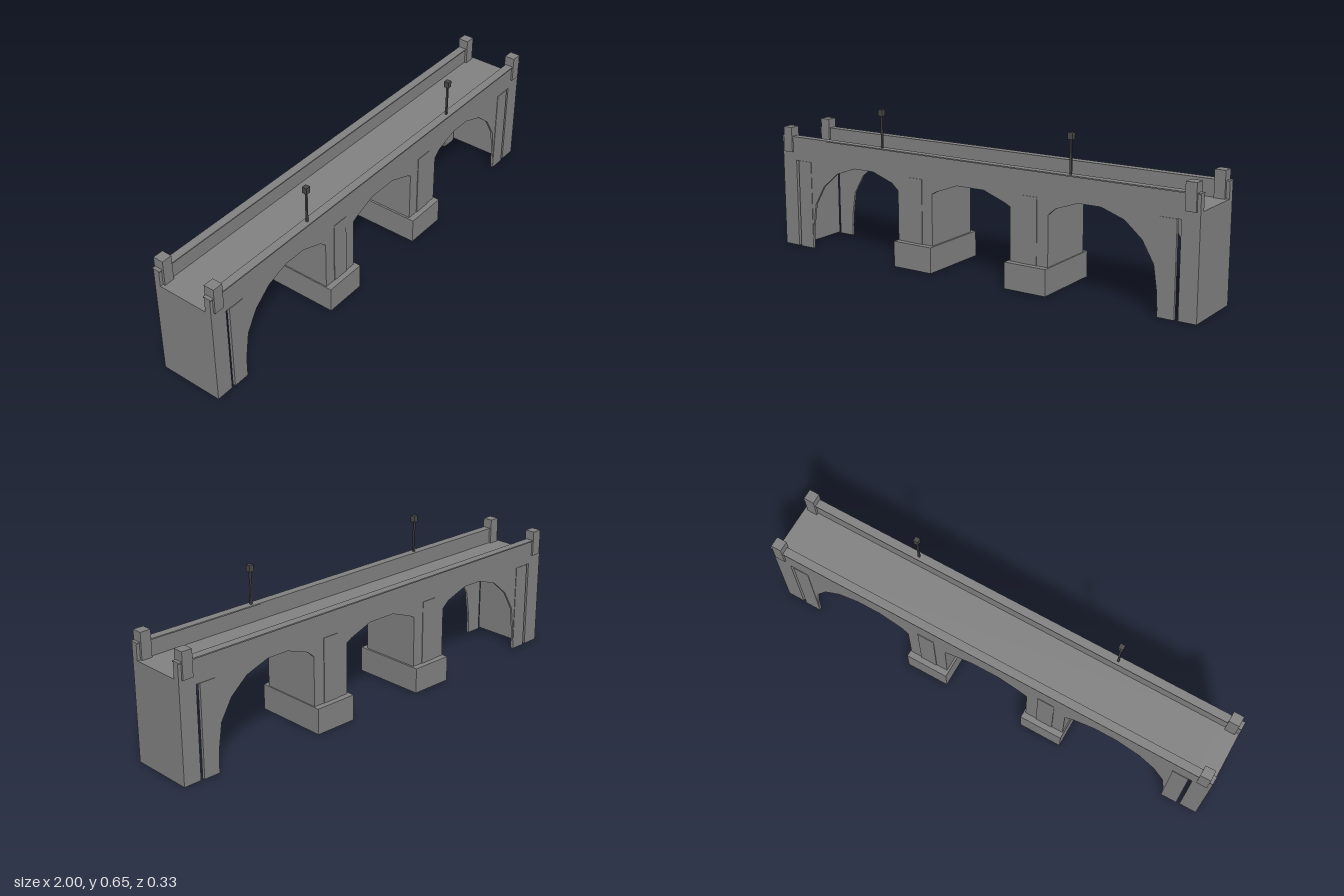
import * as THREE from 'three';

export function createModel() {
  const bridge = new THREE.Group();
  bridge.name = 'archBridge';

  const stone = new THREE.MeshStandardMaterial({ color: 0x808080 });
  stone.name = 'grey stone';
  const iron = new THREE.MeshStandardMaterial({ color: 0x484848 });
  iron.name = 'dark iron';

  // Box given by its limits on each axis
  function block(name, [x0, x1], [y0, y1], [z0, z1], material = stone) {
    const mesh = new THREE.Mesh(new THREE.BoxGeometry(x1 - x0, y1 - y0, z1 - z0), material);
    mesh.position.set((x0 + x1) / 2, (y0 + y1) / 2, (z0 + z1) / 2);
    mesh.name = name;
    bridge.add(mesh);
    return mesh;
  }
  const around = (c, half) => [c - half, c + half];

  const DECK = 0.42, SOFFIT = 0.385, WALL = 0.137;

  // Road deck between the side walls
  block('deck', [-0.925, 0.925], [SOFFIT, DECK], [-0.127, 0.127]);

  // Thin side walls, cut by the faceted arches
  const half = [
    [0.925, DECK], [0.925, SOFFIT], [0.91, SOFFIT], [0.91, 0], [0.84, 0],
    [0.836, 0.094], [0.82, 0.2], [0.77, 0.286], [0.695, 0.35], [0.595, SOFFIT],
    [0.497, SOFFIT], [0.397, 0.35], [0.365, 0.322],
    [0.19, 0.33], [0.165, 0.343], [0.065, 0.38],
  ];
  const outline = [...half, ...half.map(([x, y]) => [-x, y]).reverse()];
  const wallShape = new THREE.Shape(outline.map(([x, y]) => new THREE.Vector2(x, y)));
  const wallGeometry = new THREE.ExtrudeGeometry(wallShape, { depth: 0.01, bevelEnabled: false });
  for (const z of [WALL - 0.01, -WALL]) {
    const wall = new THREE.Mesh(wallGeometry, stone);
    wall.position.z = z;
    wall.name = 'archWall';
    bridge.add(wall);
  }

  for (const s of [-1, 1]) {
    // End supports
    block('abutment', around(s * 0.9625, 0.0375), [0, DECK], [-WALL, WALL]);

    // River piers on wider footings
    block('pier', around(s * 0.2775, 0.0875), [0.11, 0.39], [-0.1365, 0.1365]);
    block('pierFooting', around(s * 0.2755, 0.0945), [0, 0.11], [-0.163, 0.163]);

    // Parapet with a thin coping
    block('parapet', [-1, 1], [DECK, 0.485], around(s * 0.1235, 0.0135));
    block('parapetCoping', [-1, 1], [0.485, 0.49], around(s * 0.124, 0.018));

    // Lamps along the front parapet
    block('lampPost', around(s * 0.455, 0.0038), [0.49, 0.626], around(0.123, 0.0038), iron);
    block('lampHead', around(s * 0.455, 0.0105), [0.625, 0.652], around(0.123, 0.0105), iron);

    for (const t of [-1, 1]) {
      // Corner posts
      block('cornerPost', around(s * 0.9635, 0.0225), [DECK, 0.53], around(t * 0.1225, 0.0225));
      // Flat pilaster strips on the legs and piers
      block('legPilaster', around(s * 0.875, 0.035), [0, SOFFIT], around(t * 0.1375, 0.0018));
      block('pierPilaster', around(s * 0.2775, 0.037), [0.11, SOFFIT], around(t * 0.1375, 0.0018));
    }
  }

  return bridge;
}
